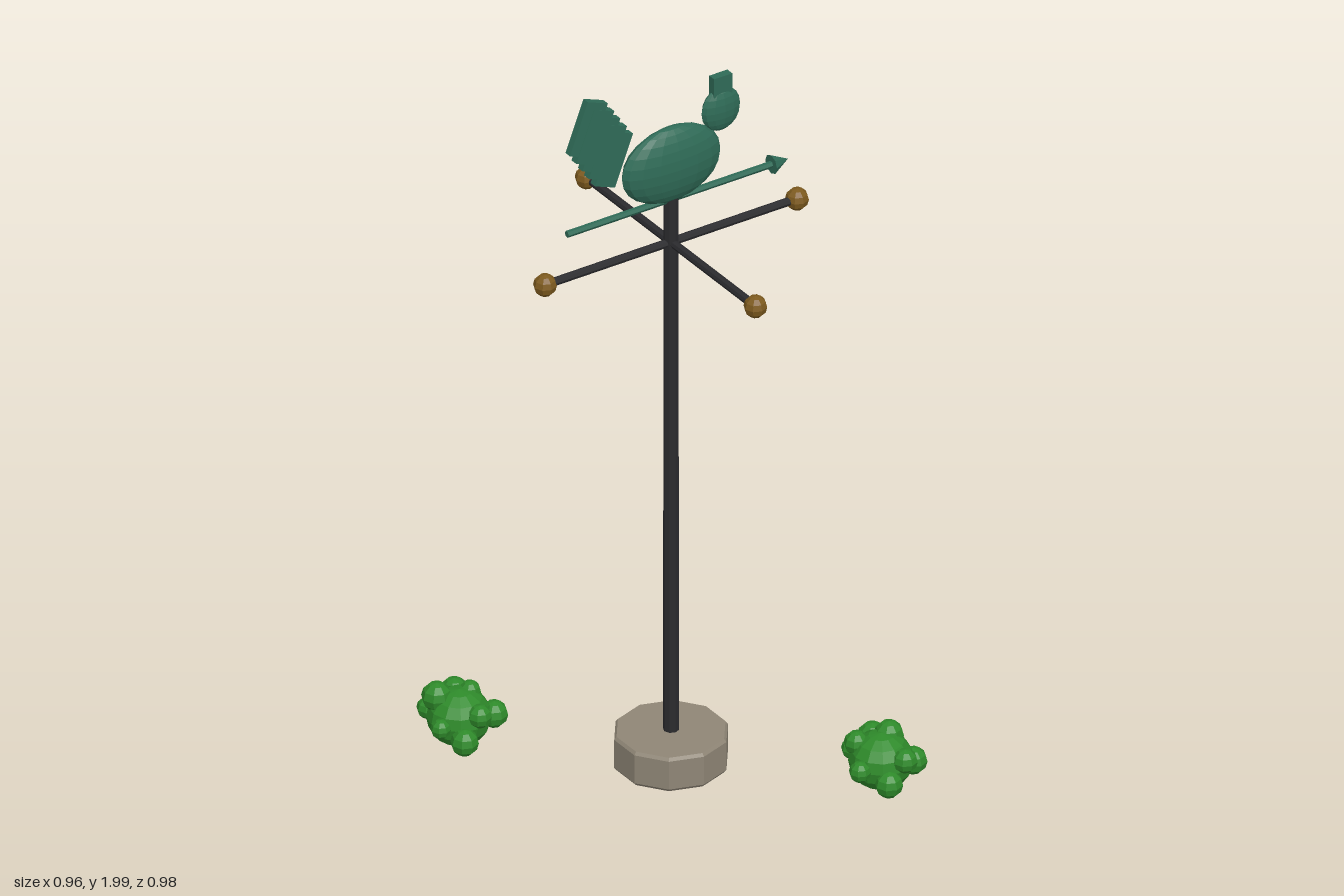
import * as THREE from 'three';

const material = (name, color) => {
  const m = new THREE.MeshStandardMaterial({ color, flatShading: true });
  m.name = name;
  return m;
};

export function createModel() {
  const stone = material('stone', 0x8f8676);
  const iron = material('iron', 0x2b2b2e);
  const brass = material('brass', 0x7d5a1e);
  const copper = material('verdigris', 0x2f6b57);
  const leaf = material('leaf', 0x2e8a2a);

  const model = new THREE.Group();
  model.name = 'weatherVane';

  const add = (parent, name, geometry, mat, x = 0, y = 0, z = 0) => {
    const mesh = new THREE.Mesh(geometry, mat);
    mesh.name = name;
    mesh.position.set(x, y, z);
    parent.add(mesh);
    return mesh;
  };
  const ellipsoid = (parent, name, mat, [x, y, z], [rx, ry, rz], w, h) =>
    add(parent, name, new THREE.SphereGeometry(1, w, h).scale(rx, ry, rz), mat, x, y, z);

  // ten-sided stone base with a slight bevel
  const profile = [[0, 0.01], [0.14, 0.01], [0.146, 0.018], [0.146, 0.098], [0.14, 0.106], [0, 0.106]]
    .map(([r, y]) => new THREE.Vector2(r, y));
  add(model, 'base', new THREE.LatheGeometry(profile, 10), stone);

  // mast
  add(model, 'pole', new THREE.CylinderGeometry(0.019, 0.02, 1.55, 8), iron, 0, 0.865, 0);

  // compass arms with ball ends
  const armY = 1.508;
  const arm = new THREE.CylinderGeometry(0.011, 0.011, 0.75, 8).rotateZ(Math.PI / 2);
  for (let i = 0; i < 2; i++) {
    add(model, 'compassArm', arm, iron, 0, armY, 0).rotation.y = i * Math.PI / 2;
  }
  for (let i = 0; i < 4; i++) {
    const a = i * Math.PI / 2;
    ellipsoid(model, 'armBall', brass, [0.375 * Math.cos(a), armY, 0.375 * Math.sin(a)], [0.03, 0.03, 0.03], 8, 6);
  }

  // arrow
  const arrow = new THREE.Group();
  arrow.name = 'arrow';
  arrow.position.y = 1.632;
  model.add(arrow);
  add(arrow, 'shaft', new THREE.CylinderGeometry(0.009, 0.009, 0.62, 6).rotateZ(-Math.PI / 2), copper);
  add(arrow, 'arrowHead', new THREE.ConeGeometry(0.026, 0.05, 8).rotateZ(-Math.PI / 2), copper, 0.323);

  // flat bird
  const bird = new THREE.Group();
  bird.name = 'bird';
  model.add(bird);
  ellipsoid(bird, 'body', copper, [0, 1.734, 0], [0.146, 0.106, 0.042], 16, 12);
  ellipsoid(bird, 'head', copper, [0.148, 1.843, 0], [0.057, 0.061, 0.021], 12, 10);
  add(bird, 'comb', new THREE.BoxGeometry(0.054, 0.055, 0.022), copper, 0.148, 1.913, 0);

  // stepped tail feathers
  for (let i = 0; i < 5; i++) {
    const feather = add(bird, 'tailFeather', new THREE.BoxGeometry(0.064, 0.148, 0.02 + (i % 2) * 0.002),
      copper, -0.251 + i * 0.0187, 1.918 - i * 0.0278, 0);
    feather.rotation.z = -0.37;
  }

  // bushes: centre x, z, then leaf clumps as x, y, z, radius
  const bushes = [
    [-0.378, -0.378, [
      [-0.422, 0.085, -0.45, 0.029], [-0.344, 0.105, -0.45, 0.039], [-0.425, 0.14, -0.407, 0.039],
      [-0.342, 0.14, -0.383, 0.028], [-0.456, 0.088, -0.342, 0.026], [-0.298, 0.08, -0.342, 0.036],
      [-0.412, 0.055, -0.302, 0.036], [-0.365, 0.113, -0.305, 0.031]]],
    [0.372, 0.378, [
      [0.345, 0.08, 0.29, 0.028], [0.4, 0.1, 0.297, 0.039], [0.324, 0.128, 0.34, 0.032],
      [0.404, 0.138, 0.365, 0.038], [0.29, 0.088, 0.407, 0.028], [0.443, 0.075, 0.415, 0.036],
      [0.347, 0.055, 0.45, 0.036], [0.392, 0.11, 0.455, 0.032]]],
  ];
  for (const [x, z, clumps] of bushes) {
    const bush = new THREE.Group();
    bush.name = 'bush';
    model.add(bush);
    ellipsoid(bush, 'bushCore', leaf, [x, 0.083, z], [0.082, 0.076, 0.082], 12, 8);
    for (const [cx, cy, cz, r] of clumps) {
      ellipsoid(bush, 'leafClump', leaf, [cx, cy, cz], [r, r, r], 8, 6);
    }
  }

  return model;
}
